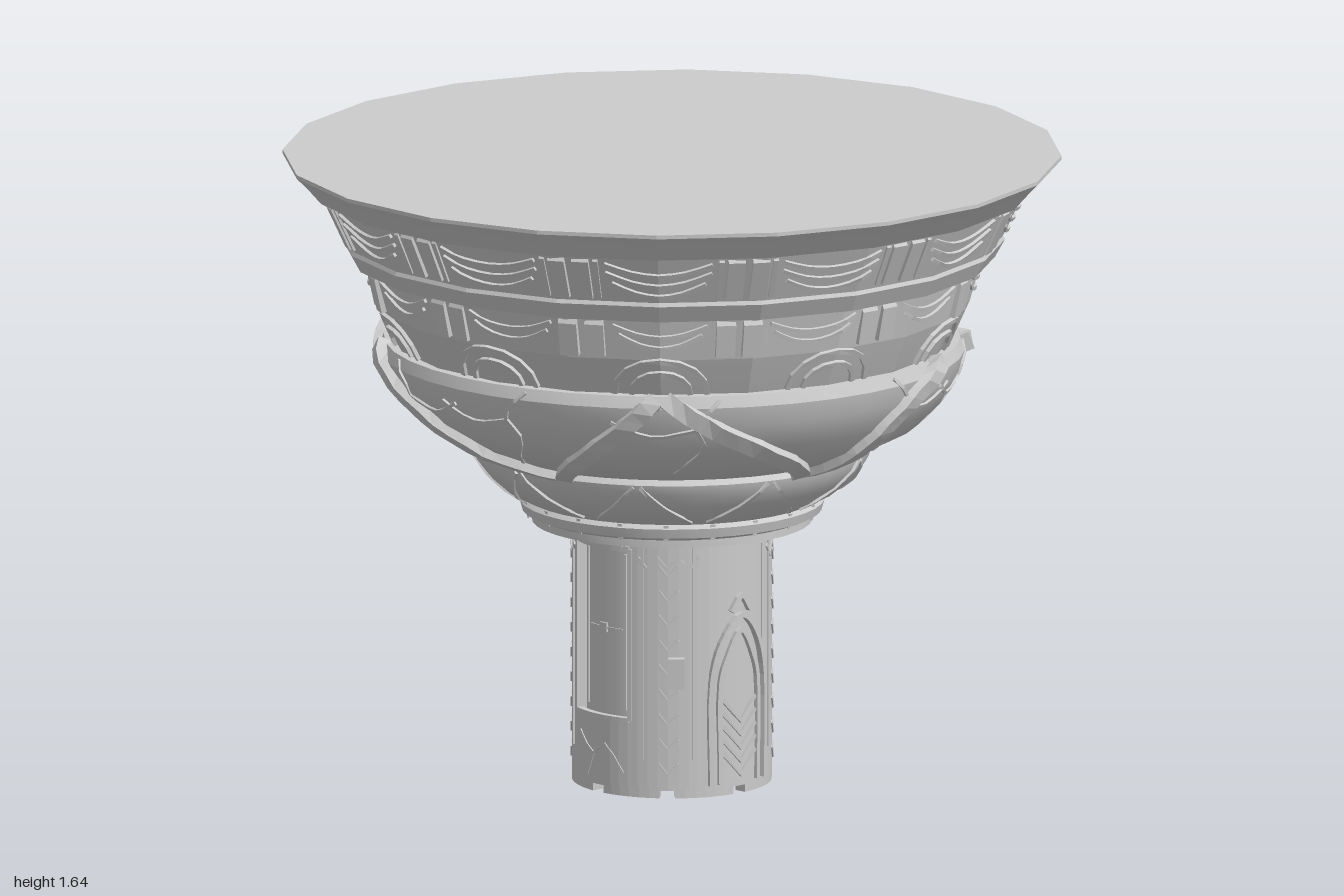
import * as THREE from 'three';
import { mergeGeometries, toCreasedNormals } from 'three/addons/utils/BufferGeometryUtils.js';

const RAD = Math.PI / 180;
const mat = new THREE.MeshStandardMaterial({ color: 0xcccccc, side: THREE.DoubleSide });

// Profiles as [radius, y], rising
const UPPER = [[0.7, 1.12], [0.725, 1.17], [0.765, 1.26], [0.795, 1.37], [0.83, 1.375], [0.855, 1.42],
  [0.85, 1.43], [0.91, 1.555], [0.935, 1.56], [0.97, 1.6], [1, 1.63], [1, 1.64]];
const BOWL = [[0.49, 0.885], [0.56, 0.91], [0.64, 0.95], [0.7, 1.01], [0.74, 1.08], [0.752, 1.13], [0.74, 1.16]];
const BULB = [[0.38, 0.745], [0.43, 0.77], [0.475, 0.81], [0.505, 0.85], [0.512, 0.875], [0.5, 0.888]];
const COLLAR = [[0.36, 0.7], [0.385, 0.71], [0.392, 0.735], [0.38, 0.745]];
const SHAFT = [[0.235, 0], [0.235, 0.7]];
const SKIN = [[0.257, 0], [0.257, 0.7]];

function radiusAt(profile, y) {
  for (let i = 1; i < profile.length; i++) {
    const [r0, y0] = profile[i - 1], [r1, y1] = profile[i];
    if (y <= y1) return r0 + (r1 - r0) * Math.max(0, (y - y0) / (y1 - y0));
  }
  return profile[profile.length - 1][0];
}

// Point on a surface of revolution; the upper bowl is a 20-gon
function surfacePoint(profile, az, y) {
  let r = radiusAt(profile, y);
  if (profile === UPPER) {
    const a = ((az % 18) + 18) % 18 - 9;
    r *= Math.cos(9 * RAD) / Math.cos(a * RAD);
  }
  return new THREE.Vector3(r * Math.sin(az * RAD), y, r * Math.cos(az * RAD));
}

// Raised bar swept over a surface along [azimuth, y] points
function strip(profile, pts, width, height, steps = 1) {
  let path = pts;
  if (steps > 1) {
    path = new THREE.CatmullRomCurve3(pts.map(([a, y]) => new THREE.Vector3(a / 100, y, 0)))
      .getPoints(steps).map((p) => [p.x * 100, p.y]);
  }
  const P = path.map(([a, y]) => surfacePoint(profile, a, y));
  const pos = [], idx = [], n = P.length;
  P.forEach((p, i) => {
    const [a, y] = path[i];
    const slope = (radiusAt(profile, y + 0.01) - radiusAt(profile, y - 0.01)) / 0.02;
    const N = new THREE.Vector3(Math.sin(a * RAD), -slope, Math.cos(a * RAD)).normalize();
    const T = P[Math.min(i + 1, n - 1)].clone().sub(P[Math.max(i - 1, 0)]).normalize();
    const B = N.clone().cross(T).normalize();
    for (const [s, h] of [[1, -0.012], [1, height], [-1, height], [-1, -0.012]])
      pos.push(...p.clone().addScaledVector(B, s * width / 2).addScaledVector(N, h).toArray());
    if (i < n - 1) for (let k = 0; k < 4; k++) {
      const q = i * 4 + k, w = i * 4 + (k + 1) % 4;
      idx.push(q, w, w + 4, q, w + 4, q + 4);
    }
  });
  const e = (n - 1) * 4;
  idx.push(2, 1, 0, 3, 2, 0, e, e + 1, e + 2, e, e + 2, e + 3);
  const g = new THREE.BufferGeometry();
  g.setAttribute('position', new THREE.Float32BufferAttribute(pos, 3));
  g.setIndex(idx);
  const flat = g.toNonIndexed();
  flat.computeVertexNormals();
  return flat;
}

// Curved block covering an azimuth range and a height range
function slab(profile, a0, a1, y0, y1, height) {
  const n = Math.max(1, Math.ceil(Math.abs(a1 - a0) / 6)), y = (y0 + y1) / 2;
  const pts = Array.from({ length: n + 1 }, (_, i) => [a0 + (a1 - a0) * i / n, y]);
  return strip(profile, pts, y1 - y0, height);
}

export function createModel() {
  const group = new THREE.Group();
  const add = (name, geo) => {
    const mesh = new THREE.Mesh(Array.isArray(geo) ? mergeGeometries(geo) : geo, mat);
    mesh.name = name;
    group.add(mesh);
  };
  const lathe = (pts, sides, crease) =>
    toCreasedNormals(new THREE.LatheGeometry(pts.map((p) => new THREE.Vector2(...p)), sides), crease);

  // Bowl bodies
  add('upperBowl', lathe([...UPPER, [0, 1.64]], 20, 0.1));
  add('lowerBowl', lathe([[0, 0.885], ...BOWL, [0.6, 1.165]], 40, 0.6));
  add('bulb', lathe([...BULB, [0.3, 0.89]], 40, 0.6));
  add('collar', lathe([[0, 0.68], [0.36, 0.68], [0.36, 0.7], ...COLLAR], 40, 0.5));

  // Carved bays around the upper bowl: posts, swags and rows of short teeth
  const posts = [], swags = [];
  for (let i = 0; i < 12; i++) {
    const c = i * 30;
    for (const s of [-1, 1]) {
      posts.push(strip(UPPER, [[c + s * 13, 1.44], [c + s * 13, 1.55]], 0.045, 0.009));
      posts.push(strip(UPPER, [[c + s * 10.5, 1.44], [c + s * 10.5, 1.55]], 0.014, 0.006));
      posts.push(strip(UPPER, [[c + s * 12.5, 1.27], [c + s * 12.5, 1.365]], 0.05, 0.012));
    }
    for (const [y, dip, half] of [[1.54, 0.03, 9], [1.515, 0.035, 9], [1.485, 0.035, 8], [1.355, 0.03, 9], [1.33, 0.035, 8]])
      swags.push(strip(UPPER, [[c - half, y], [c - half / 2, y - dip * 0.75], [c, y - dip],
        [c + half / 2, y - dip * 0.75], [c + half, y]], 0.01, 0.008, 8));
  }
  add('carvedPosts', posts);
  add('swags', swags);

  // Half-round arches below the carved bays
  const arches = [];
  for (let i = 0; i < 10; i++) for (const [w, h] of [[9.5, 0.095], [6, 0.06]]) {
    const pts = Array.from({ length: 9 }, (_, k) =>
      [i * 36 - w * Math.cos(k * Math.PI / 8), 1.165 + h * Math.sin(k * Math.PI / 8)]);
    arches.push(strip(UPPER, pts, 0.014, 0.01));
  }
  add('arches', arches);

  // Wrapping bands on the lower bowl
  const bands = [
    [[1, 1.15], [13, 1.06], [28, 0.97], [42, 0.89]],
    [[-1, 1.15], [-9, 1.06], [-20, 0.96], [-30, 0.89]],
    [[69, 1.155], [58, 1.09], [51, 1], [46, 0.89]],
    [[92, 1.14], [115, 1.1], [132, 1.02], [143, 0.9]],
    [[180, 1.155], [170, 1.06], [156, 0.96], [145, 0.89]],
    [[183, 1.14], [205, 1.1], [217, 1.02], [225, 0.9]],
    [[257, 1.155], [250, 1.06], [240, 0.96], [229, 0.89]],
    [[261, 1.155], [267, 1.06], [264, 0.98], [258, 0.9]],
    [[-82, 1.15], [-65, 1.06], [-48, 0.96], [-33, 0.89]],
  ];
  add('wrappingBands', bands.map((p) => strip(BOWL, p, 0.045, 0.022, 14)));

  // Thin veins on the lower bowl and the bulb
  const veins = [];
  for (let i = 0; i < 9; i++) {
    const c = i * 40 + 12, s = i % 2 ? 1 : -1;
    veins.push(strip(BOWL, [[c, 1.15], [c + s * 5, 1.08], [c + s * 3, 1.02], [c + s * 9, 0.93]], 0.009, 0.005, 8));
    veins.push(strip(BOWL, [[c + s * 5, 1.07], [c + s * 14, 1.05], [c + s * 22, 1.09]], 0.009, 0.005, 6));
    for (const t of [-1, 1])
      veins.push(strip(BULB, [[c + t * 3, 0.76], [c + t * 12, 0.81], [c + t * 19, 0.87]], 0.009, 0.006, 6));
  }
  add('veins', veins);

  // Small ribs around the collar
  add('collarRibs', Array.from({ length: 20 }, (_, i) =>
    strip(COLLAR, [[i * 18, 0.708], [i * 18, 0.742]], 0.012, 0.006)));

  // Hollow column: core, notched foot, top ring and pilasters leaving sunken panels
  add('columnCore', new THREE.CylinderGeometry(0.235, 0.235, 0.665, 40, 1, true).translate(0, 0.3525, 0));
  const wall = [slab(SHAFT, 0, 360, 0.02, 0.2, 0.022), slab(SHAFT, 0, 360, 0.64, 0.69, 0.022)];
  for (let i = 0; i < 8; i++) wall.push(slab(SHAFT, i * 45 + 4, i * 45 + 40, 0, 0.03, 0.022));
  for (let i = 0; i < 4; i++) wall.push(slab(SHAFT, i * 90 - 24, i * 90 + 24, 0.2, 0.64, 0.022));
  wall.push(slab(SHAFT, 24, 66, 0.2, 0.64, 0.02));
  add('columnWall', wall);

  // Panel frames with a crossbar and a small boss
  const frames = [];
  for (const c of [135, 225, 315]) {
    for (const s of [-1, 1]) {
      frames.push(strip(SKIN, [[c + s * 22.5, 0.2], [c + s * 22.5, 0.65]], 0.012, 0.005));
      frames.push(strip(SHAFT, [[c + s * 17, 0.22], [c + s * 17, 0.63]], 0.006, 0.004));
    }
    for (const y of [0.2, 0.65]) frames.push(slab(SKIN, c - 22, c + 22, y - 0.006, y + 0.006, 0.005));
    frames.push(slab(SHAFT, c - 15, c + 15, 0.428, 0.432, 0.003));
    frames.push(slab(SHAFT, c - 3, c + 3, 0.418, 0.442, 0.006));
    frames.push(strip(SKIN, [[c - 18, 0.15], [c - 4, 0.1], [c + 5, 0.13], [c + 18, 0.06]], 0.007, 0.003, 6));
    frames.push(strip(SKIN, [[c - 4, 0.1], [c - 10, 0.04]], 0.007, 0.003));
  }
  add('panelFrames', frames);

  // Pilaster edges and stacked chevrons
  const chevrons = [];
  for (let i = 0; i < 4; i++) {
    const c = i * 90;
    for (const s of [-1, 1]) chevrons.push(strip(SKIN, [[c + s * 15, 0.1], [c + s * 15, 0.67]], 0.008, 0.004));
    for (let k = 0; k < 9; k++) {
      const y = 0.06 + k * 0.065;
      chevrons.push(strip(SKIN, [[c - 6, y + 0.03], [c, y], [c + 6, y + 0.03]], 0.01, 0.004));
    }
    chevrons.push(strip(SKIN, [[c - 18, 0.63], [c - 12, 0.6], [c - 6, 0.63], [c, 0.6],
      [c + 6, 0.63], [c + 12, 0.6], [c + 18, 0.63]], 0.01, 0.004));
  }
  add('chevrons', chevrons);

  // Arched door with nested point arches and chevrons
  const door = [];
  for (const [w, top, h] of [[20, 0.47, 0.012], [14, 0.43, 0.008]])
    door.push(strip(SKIN, [[45 - w, 0.03], [45 - w, 0.3], [45 - w * 0.7, top - 0.07], [45, top],
      [45 + w * 0.7, top - 0.07], [45 + w, 0.3], [45 + w, 0.03]], 0.014, h, 24));
  for (let k = 0; k < 5; k++)
    door.push(strip(SKIN, [[33, 0.11 + k * 0.035], [45, 0.05 + k * 0.035], [57, 0.11 + k * 0.035]], 0.012, 0.006));
  door.push(strip(SKIN, [[38, 0.48], [45, 0.52], [52, 0.48]], 0.014, 0.01, 6));
  add('archedDoor', door);

  // Small control box beside the door
  add('controlBox', new THREE.BoxGeometry(0.042, 0.08, 0.035).translate(0.022, 0.33, 0.262));

  return group;
}
